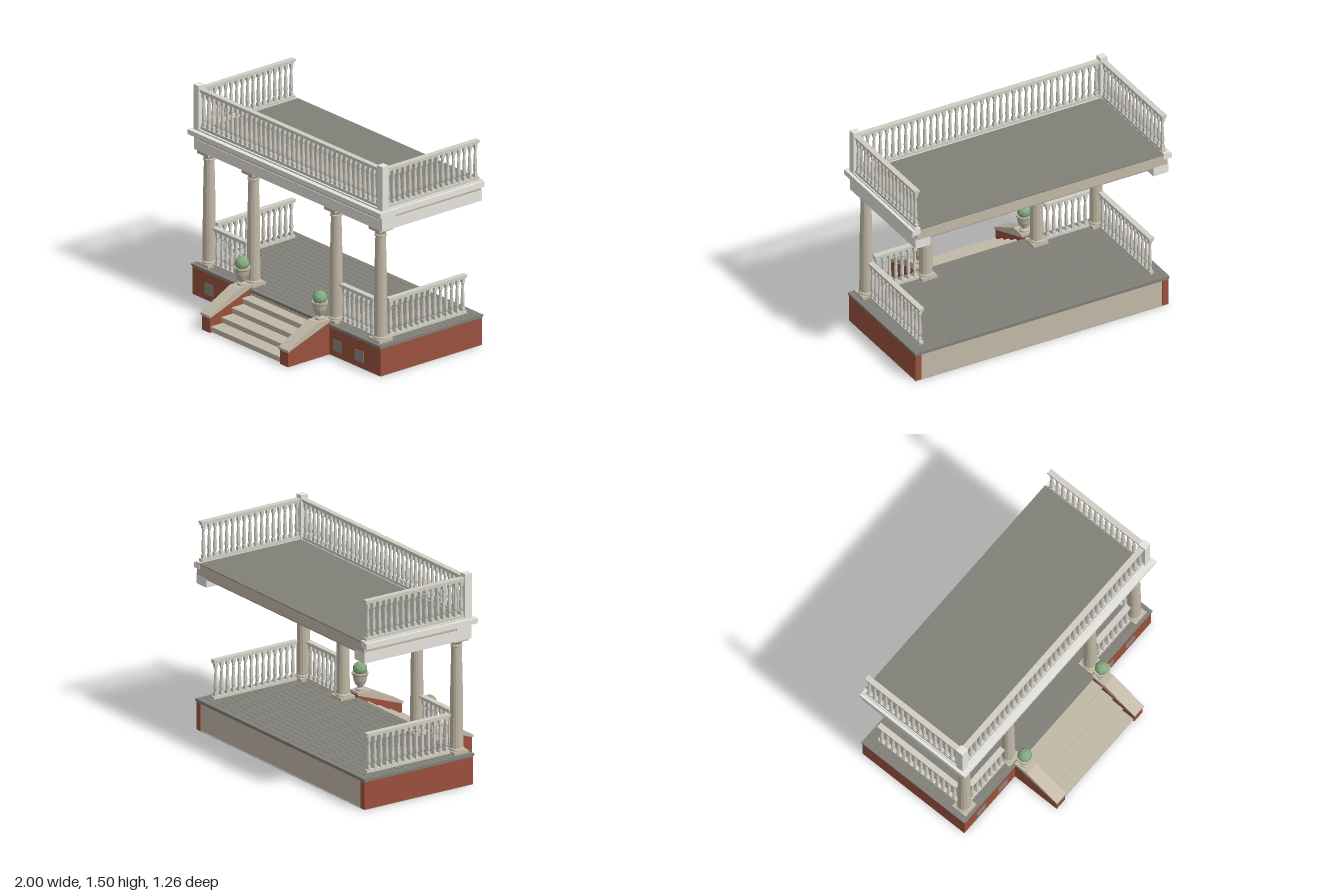
import * as THREE from 'three';

const mat = (name, color) => {
  const m = new THREE.MeshStandardMaterial({ color, flatShading: true });
  m.name = name;
  return m;
};

export function createModel() {
  const trim = mat('paleTrim', 0xe5e4de);
  const baluster = mat('balusterStone', 0xd0cec4);
  const stone = mat('warmStone', 0xc2b9a7);
  const brick = mat('brick', 0x9a503d);
  const deckGrey = mat('deckGrey', 0x817f78);
  const under = mat('undersideTaupe', 0xa8a498);
  const vent = mat('ventGrey', 0x88867e);
  const green = mat('leafGreen', 0x84ab80);
  const iron = mat('lanternIron', 0x63625d);
  const glass = mat('lanternGlass', 0xe4e6e2);

  const model = new THREE.Group();
  model.name = 'porch';
  const add = (name, geo, material, parent = model) => {
    const m = new THREE.Mesh(geo, material);
    m.name = name;
    parent.add(m);
    return m;
  };
  // box from min and max corners
  const box = (name, material, x0, x1, y0, y1, z0, z1, parent) => {
    const m = add(name, new THREE.BoxGeometry(x1 - x0, y1 - y0, z1 - z0), material, parent);
    m.position.set((x0 + x1) / 2, (y0 + y1) / 2, (z0 + z1) / 2);
    return m;
  };
  const lathe = (pts, sides) =>
    new THREE.LatheGeometry(pts.map(([r, y]) => new THREE.Vector2(r, y)), sides);
  // side profile given as [z, y], extruded across x0..x1
  const sideExtrude = (name, material, pts, x0, x1) => {
    const shape = new THREE.Shape(pts.map(([z, y]) => new THREE.Vector2(-z, y)));
    const geo = new THREE.ExtrudeGeometry(shape, { depth: x1 - x0, bevelEnabled: false });
    geo.rotateY(Math.PI / 2);
    const m = add(name, geo, material);
    m.position.x = x0;
    return m;
  };

  // Base: brick on three sides, plain panel at the back
  box('baseFill', stone, -0.93, 0.93, 0.005, 0.195, -0.62, 0.22);
  box('brickFront', brick, -0.975, 0.975, 0.003, 0.197, 0.22, 0.262);
  for (const s of [-1, 1]) {
    box('brickSide', brick, s * 0.9525 - 0.0225, s * 0.9525 + 0.0225, 0.003, 0.197, -0.625, 0.22);
  }
  box('baseUnderside', under, -0.975, 0.975, 0, 0.003, -0.625, 0.262);
  for (const x of [-0.8, -0.575, 0.532, 0.756]) {
    box('vent', vent, x - 0.046, x + 0.046, 0.043, 0.123, 0.26, 0.265);
  }

  // Deck boards between edge strips
  box('deckFascia', deckGrey, -0.977, 0.977, 0.197, 0.208, -0.627, 0.265);
  const boards = 18, pitch = 0.9 / boards;
  for (let i = 0; i < boards; i++) {
    const z = -0.63 + i * pitch;
    box('deckBoard', deckGrey, -0.972, 0.972, 0.208, 0.22, z + 0.001, z + pitch - 0.001);
  }
  for (const s of [-1, 1]) {
    box('deckEdge', deckGrey, s * 0.977 - 0.005, s * 0.977 + 0.005, 0.208, 0.22, -0.63, 0.268);
  }

  // Stairs: risers with overhanging treads
  for (let i = 0; i < 4; i++) {
    const top = 0.045 * (i + 1), front = 0.62 - 0.09 * i;
    box('stepRiser', stone, -0.36, 0.36, top - 0.042, top - 0.014, 0.262, front - 0.01);
    box('stepTread', stone, -0.36, 0.36, top - 0.014, top, 0.262, front);
  }
  box('topRiser', stone, -0.36, 0.36, 0.18, 0.197, 0.258, 0.266);
  box('stairUnderside', under, -0.363, 0.363, 0, 0.003, 0.262, 0.605);

  // Sloping cheek walls with wedge-shaped stone caps
  for (const s of [-1, 1]) {
    const c = s * 0.405;
    sideExtrude('cheekWall', brick,
      [[0.262, 0], [0.625, 0], [0.625, 0.108], [0.262, 0.238]], c - 0.042, c + 0.042);
    sideExtrude('cheekCap', stone,
      [[0.262, 0.237], [0.632, 0.105], [0.632, 0.123], [0.373, 0.256], [0.262, 0.256]],
      c - 0.048, c + 0.048);
  }

  // Urns with clipped shrubs
  const urnGeo = lathe([[0, 0], [0.034, 0], [0.034, 0.012], [0.018, 0.02], [0.018, 0.028],
    [0.032, 0.042], [0.045, 0.075], [0.051, 0.108], [0.057, 0.116], [0.057, 0.128],
    [0.046, 0.128], [0.044, 0.118], [0, 0.118]], 14);
  const shrubGeo = new THREE.IcosahedronGeometry(0.05, 1);
  for (const s of [-1, 1]) {
    add('urn', urnGeo, stone).position.set(s * 0.403, 0.256, 0.31);
    add('shrub', shrubGeo, green).position.set(s * 0.403, 0.408, 0.31);
  }

  // Columns
  const shaftGeo = lathe([[0.054, 0.24], [0.054, 0.25], [0.046, 0.258], [0.045, 0.45], [0.042, 0.72],
    [0.036, 0.972], [0.042, 0.976], [0.042, 0.986], [0.036, 0.99], [0.038, 1.0], [0.05, 1.018]], 14);
  for (const x of [-0.888, -0.428, 0.428, 0.888]) {
    const column = new THREE.Group();
    column.name = 'column';
    column.position.set(x, 0, 0.188);
    box('plinth', stone, -0.058, 0.058, 0.22, 0.24, -0.058, 0.058, column);
    add('shaft', shaftGeo, stone, column);
    box('abacus', stone, -0.058, 0.058, 1.018, 1.04, -0.058, 0.058, column);
    model.add(column);
  }

  // Roof: beams, slab, boarded ceiling and cornice
  box('frontBeam', trim, -0.975, 0.975, 1.04, 1.115, 0.13, 0.248);
  box('roofSlab', stone, -0.97, 0.97, 1.105, 1.185, -0.625, 0.243);
  for (const s of [-1, 1]) {
    const c = s * 0.917;
    box('sideBeam', trim, c - 0.058, c + 0.058, 1.04, 1.115, -0.625, 0.13);
    box('beamCorner', trim, s * 0.955 - 0.02, s * 0.955 + 0.02, 1.115, 1.145, 0.13, 0.248);
    box('sideCornice', trim, s * 0.97 - 0.03, s * 0.97 + 0.03, 1.146, 1.184, -0.627, 0.23);
    box('sideCurb', trim, s * 0.957 - 0.02, s * 0.957 + 0.02, 1.184, 1.194, -0.627, 0.2);
  }
  sideExtrude('frontCornice', trim,
    [[0.2, 1.146], [0.279, 1.146], [0.285, 1.152], [0.285, 1.184], [0.2, 1.184]], -1, 1);
  box('frontCurb', trim, -0.977, 0.977, 1.184, 1.194, 0.2, 0.25);
  box('roofDeck', deckGrey, -0.938, 0.938, 1.184, 1.19, -0.63, 0.206);
  const slats = 22, slatPitch = 0.755 / slats;
  for (let i = 0; i < slats; i++) {
    const z = -0.625 + i * slatPitch;
    box('ceilingBoard', under, -0.859, 0.859, 1.096, 1.105, z + 0.001, z + slatPitch - 0.001);
  }

  // Turned balusters between two rails; runs along local x from the centre
  const railing = (name, length, count, height, x, y, z, turn) => {
    const g = new THREE.Group();
    g.name = name;
    const h = length / 2;
    box('bottomRail', baluster, -h, h, 0, 0.02, -0.015, 0.015, g);
    box('railNeck', baluster, -h, h, height - 0.026, height - 0.014, -0.013, 0.013, g);
    box('topRail', baluster, -h, h, height - 0.014, height, -0.02, 0.02, g);
    const b = height - 0.046;
    const geo = lathe([[0.011, 0.11], [0.01, 0.14], [0.013, 0.2], [0.014, 0.27], [0.012, 0.45],
      [0.009, 0.72], [0.008, 0.8], [0.011, 0.83], [0.011, 0.88]].map(([r, t]) => [r, t * b]), 8);
    for (let i = 0; i < count; i++) {
      const px = -h + ((i + 0.5) * length) / count;
      add('baluster', geo, baluster, g).position.set(px, 0.02, 0);
      box('balusterFoot', baluster, px - 0.0115, px + 0.0115, 0.02, 0.02 + b * 0.11, -0.0115, 0.0115, g);
      box('balusterHead', baluster, px - 0.0115, px + 0.0115, 0.02 + b * 0.88, 0.02 + b, -0.0115, 0.0115, g);
    }
    g.position.set(x, y, z);
    g.rotation.y = turn ? Math.PI / 2 : 0;
    model.add(g);
  };
  railing('upperFrontRailing', 1.86, 38, 0.285, 0, 1.194, 0.22, false);
  for (const s of [-1, 1]) {
    railing('upperSideRailing', 0.81, 17, 0.285, s * 0.953, 1.194, -0.202, true);
    railing('lowerSideRailing', 0.68, 14, 0.28, s * 0.888, 0.225, -0.213, true);
    railing('lowerFrontRailing', 0.34, 7, 0.28, s * 0.658, 0.225, 0.188, false);
    box('cornerPost', trim, s * 0.952 - 0.027, s * 0.952 + 0.027, 1.19, 1.505, 0.195, 0.25);
  }

  // Hanging lantern
  const lantern = new THREE.Group();
  lantern.name = 'lantern';
  lantern.position.set(0, 0, -0.24);
  model.add(lantern);
  box('glass', glass, -0.028, 0.028, 0.895, 0.985, -0.028, 0.028, lantern);
  for (const [a, b] of [[0.888, 0.896], [0.984, 0.992]]) {
    box('frameRing', iron, -0.033, 0.033, a, b, -0.033, 0.033, lantern);
  }
  for (const sx of [-1, 1]) for (const sz of [-1, 1]) {
    const x = sx * 0.029, z = sz * 0.029;
    box('frameBar', iron, x - 0.004, x + 0.004, 0.89, 0.99, z - 0.004, z + 0.004, lantern);
  }
  const cap = add('lanternRoof', new THREE.CylinderGeometry(0.006, 0.047, 0.032, 4), iron, lantern);
  cap.rotation.y = Math.PI / 4;
  cap.position.y = 1.008;
  add('hangingRod', new THREE.CylinderGeometry(0.003, 0.003, 0.08, 6), iron, lantern).position.y = 1.06;
  add('ceilingPlate', new THREE.CylinderGeometry(0.016, 0.016, 0.008, 8), iron, lantern).position.y = 1.093;
  add('finial', new THREE.IcosahedronGeometry(0.008, 1), iron, lantern).position.y = 0.882;

  return model;
}
